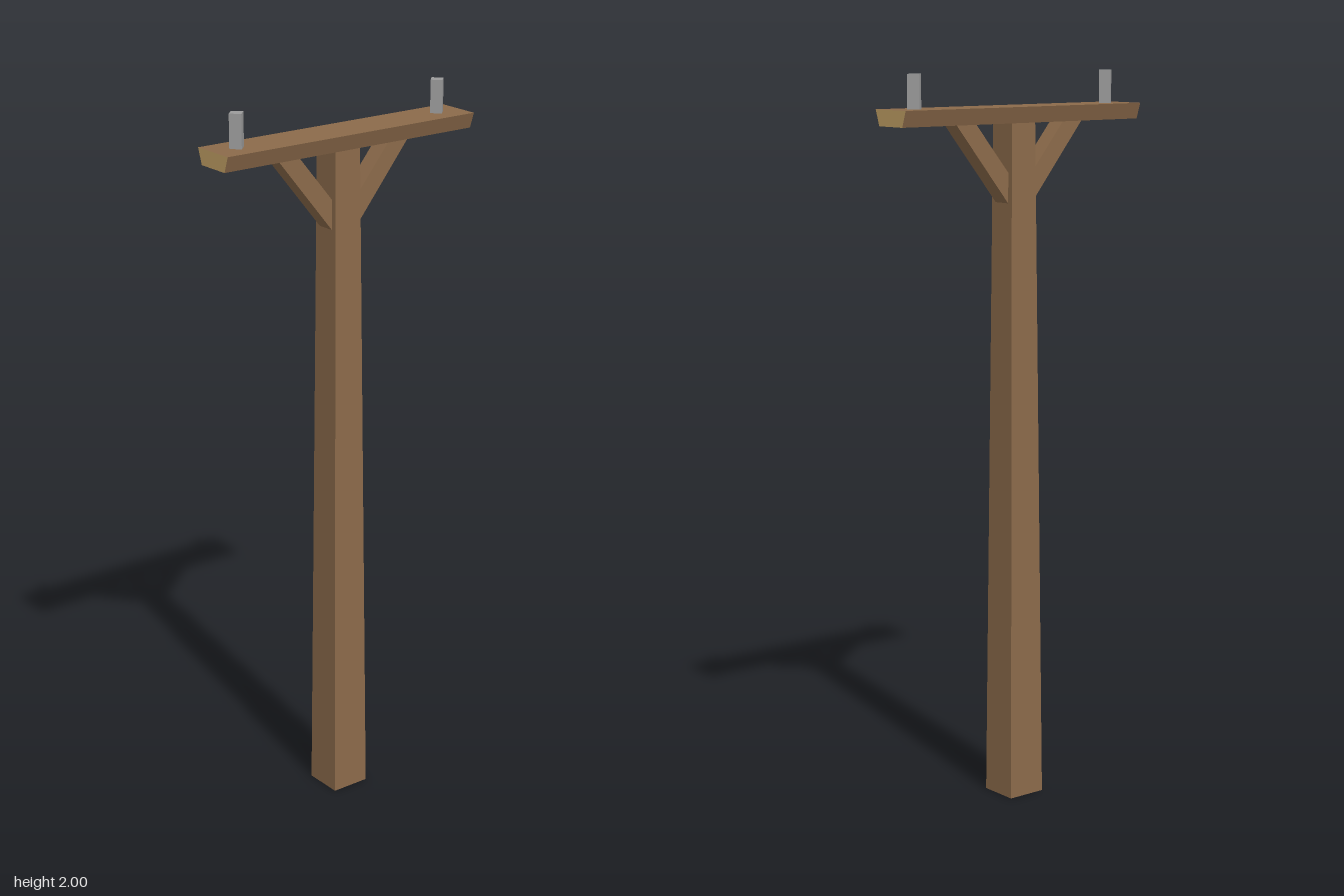
import * as THREE from 'three';

const wood = new THREE.MeshStandardMaterial({ color: 0x8b6a4a, flatShading: true, side: THREE.DoubleSide });
wood.name = 'brown wood';
const cutWood = new THREE.MeshStandardMaterial({ color: 0xc4a266, flatShading: true });
cutWood.name = 'pale cut wood';
const metal = new THREE.MeshStandardMaterial({ color: 0x9b9b9b, flatShading: true });
metal.name = 'grey metal';

// Extrudes a polygon by depth, centred on its own z
function prism(points, depth) {
  const shape = new THREE.Shape(points.map(([x, y]) => new THREE.Vector2(x, y)));
  const geometry = new THREE.ExtrudeGeometry(shape, { depth, bevelEnabled: false });
  return geometry.translate(0, 0, -depth / 2);
}

function add(parent, name, geometry, material) {
  const mesh = new THREE.Mesh(geometry, material);
  mesh.name = name;
  parent.add(mesh);
  return mesh;
}

export function createModel() {
  const model = new THREE.Group();
  model.name = 'utilityPole';
  const poleZ = 0.006;

  // Tapered square post, open at the ends
  const post = new THREE.CylinderGeometry(0.04 * Math.SQRT2, 0.056 * Math.SQRT2, 1.87, 4, 1, true);
  post.rotateY(Math.PI / 4);
  add(model, 'post', post, wood).position.set(0, 0.935, poleZ);

  // Crossarm, wider on top, with pale sawn ends
  const arm = prism([[-0.05, 1.867], [0.05, 1.867], [0.065, 1.91], [-0.065, 1.91]], 0.8);
  add(model, 'crossarm', arm, [cutWood, wood]);

  for (const side of [1, -1]) {
    const label = side > 0 ? 'front' : 'back';

    // Diagonal brace from post to crossarm
    const outline = [[0.215, 1.868], [0.03, 1.64], [0.03, 1.722], [0.15, 1.868]];
    const brace = prism(outline.map(([z, y]) => [z * side, y]), 0.053);
    brace.rotateY(-Math.PI / 2);
    add(model, label + 'Brace', brace, wood).position.z = poleZ;

    // Four-sided insulator pin
    const pin = new THREE.CylinderGeometry(0.0225, 0.0225, 0.092, 4);
    add(model, label + 'Pin', pin, metal).position.set(-0.002, 1.954, side * 0.326);
  }
  return model;
}
